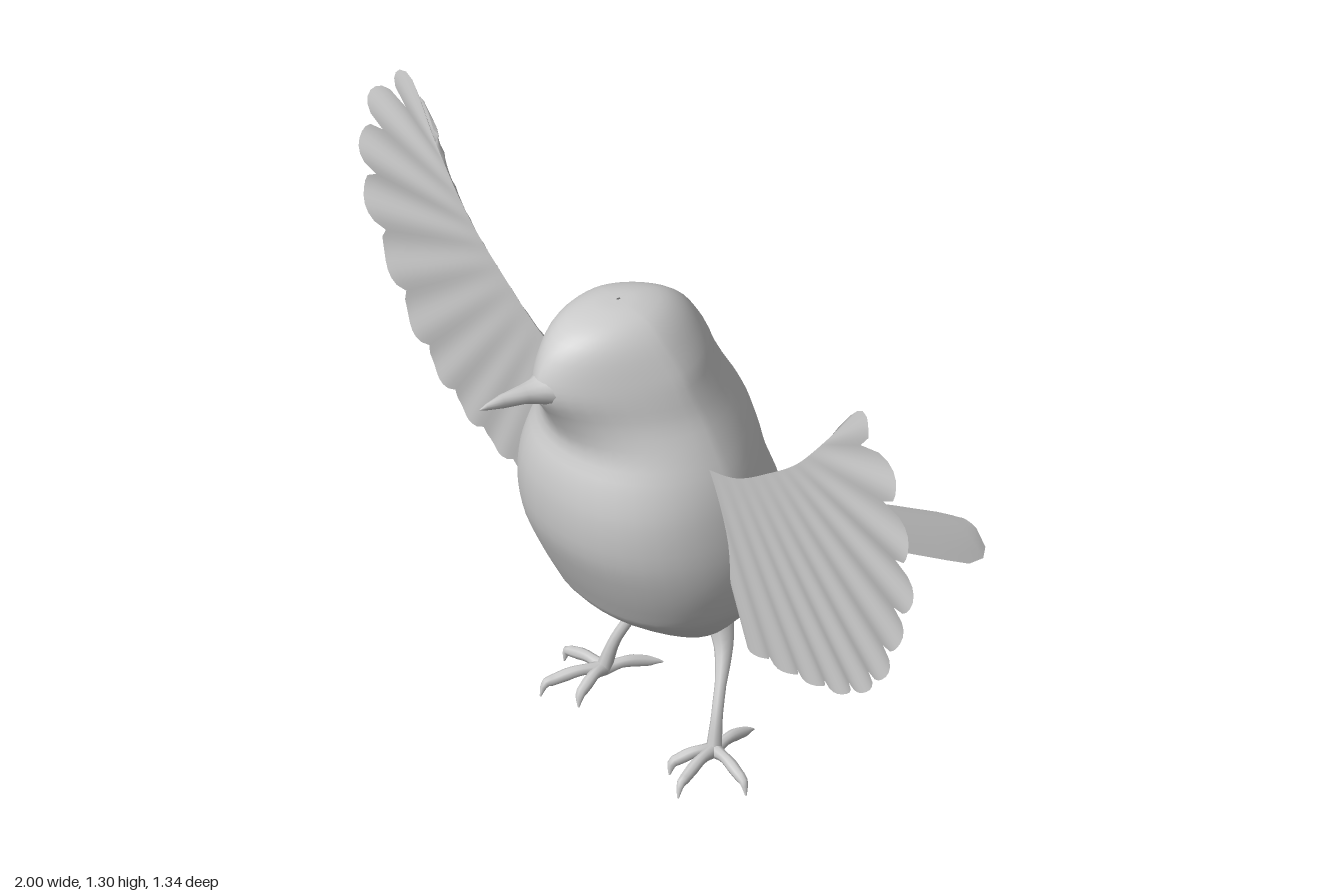
import * as THREE from 'three';

const V2 = (x, y) => new THREE.Vector2(x, y);
const V3 = (x, y, z) => new THREE.Vector3(x, y, z);

// Joins rows of points into a smooth surface; closed rows wrap round
function loft(rows, closed) {
  const n = rows[0].length, pos = [], idx = [];
  rows.forEach(r => r.forEach(p => pos.push(p.x, p.y, p.z)));
  for (let i = 0; i < rows.length - 1; i++) {
    for (let j = 0; j < (closed ? n : n - 1); j++) {
      const k = (j + 1) % n, a = i * n + j, b = i * n + k;
      idx.push(a, a + n, b, b, a + n, b + n);
    }
  }
  const g = new THREE.BufferGeometry();
  g.setAttribute('position', new THREE.Float32BufferAttribute(pos, 3));
  g.setIndex(idx);
  g.computeVertexNormals();
  return g;
}

// Round limb along a path, its radius blended through the given list
function limb(points, radii) {
  const curve = new THREE.CatmullRomCurve3(points), n = 14, sides = 8;
  const g = new THREE.TubeGeometry(curve, n, 1, sides);
  const p = g.attributes.position, v = V3(0, 0, 0);
  for (let i = 0; i <= n; i++) {
    const c = curve.getPointAt(i / n), f = i / n * (radii.length - 1);
    const k = Math.min(Math.floor(f), radii.length - 2);
    const r = THREE.MathUtils.lerp(radii[k], radii[k + 1], f - k);
    for (let j = 0; j <= sides; j++) {
      const q = i * (sides + 1) + j;
      v.fromBufferAttribute(p, q).sub(c).multiplyScalar(r).add(c);
      p.setXYZ(q, v.x, v.y, v.z);
    }
  }
  return g;
}

// Head and body: stacked sections of height, front z, back z, half width, widest z, front squareness
function bodyGeometry() {
  const rows = [
    [0.283, 0.14, 0.13, 0.005, 0.135, 1],
    [0.29, 0.18, 0.09, 0.09, 0.14, 1],
    [0.315, 0.235, 0.05, 0.145, 0.15, 1],
    [0.36, 0.305, -0.04, 0.2, 0.16, 0.95],
    [0.41, 0.37, -0.2, 0.24, 0.17, 0.9],
    [0.45, 0.395, -0.225, 0.265, 0.17, 0.9],
    [0.53, 0.435, -0.14, 0.292, 0.17, 0.9],
    [0.62, 0.47, -0.105, 0.3, 0.18, 0.9],
    [0.72, 0.48, -0.065, 0.29, 0.19, 0.9],
    [0.8, 0.47, -0.045, 0.27, 0.2, 0.95],
    [0.87, 0.448, -0.02, 0.24, 0.21, 1],
    [0.94, 0.475, 0.02, 0.207, 0.22, 1.15],
    [1.0, 0.512, 0.05, 0.187, 0.24, 1.3],
    [1.05, 0.51, 0.07, 0.168, 0.25, 1.3],
    [1.115, 0.475, 0.112, 0.13, 0.27, 1.15],
    [1.155, 0.42, 0.165, 0.09, 0.28, 1],
    [1.173, 0.35, 0.23, 0.045, 0.29, 1],
    [1.176, 0.295, 0.285, 0.003, 0.29, 1],
  ];
  const depth = new THREE.CatmullRomCurve3(rows.map(r => V3(r[0], r[1], r[2])), false, 'catmullrom');
  const width = new THREE.CatmullRomCurve3(rows.map(r => V3(r[3], r[4], r[5])), false, 'catmullrom');
  const rings = [], n = (rows.length - 1) * 3, sides = 40;
  for (let i = 0; i <= n; i++) {
    const d = depth.getPoint(i / n), w = width.getPoint(i / n), ring = [];
    for (let j = 0; j < sides; j++) {
      const a = j / sides * Math.PI * 2, c = Math.cos(a), s = Math.sin(a);
      const e = s > 0 ? w.z : 1.25;
      const reach = s > 0 ? d.y - w.y : w.y - d.z;
      ring.push(V3(Math.sign(c) * Math.abs(c) ** e * w.x, d.x, w.y + Math.sign(s) * Math.abs(s) ** e * reach));
    }
    rings.push(ring);
  }
  return loft(rings, true);
}

// Beak: sections of z, half width, bottom and top
function beakGeometry() {
  const rows = [[0.46, 0.06, 0.97, 1.07], [0.51, 0.036, 0.993, 1.05], [0.55, 0.024, 1.008, 1.05],
    [0.61, 0.014, 1.018, 1.05], [0.65, 0.006, 1.028, 1.043], [0.668, 0.001, 1.034, 1.036]];
  return loft(rows.map(([z, w, lo, hi]) => Array.from({ length: 12 }, (_, j) => {
    const a = j / 12 * Math.PI * 2;
    return V3(Math.cos(a) * w, (lo + hi) / 2 - Math.sin(a) * (hi - lo) / 2, z);
  })), true);
}

// Tail: arched sheet with a rounded end; z, half width, ridge height, edge drop
function tailGeometry() {
  const rows = [[-0.1, 0.085, 0.5, 0.05], [-0.15, 0.1, 0.505, 0.06], [-0.2, 0.105, 0.472, 0.062],
    [-0.28, 0.112, 0.415, 0.055], [-0.4, 0.12, 0.35, 0.055], [-0.51, 0.128, 0.29, 0.055],
    [-0.57, 0.128, 0.257, 0.055], [-0.62, 0.112, 0.23, 0.042], [-0.65, 0.08, 0.213, 0.025], [-0.667, 0.025, 0.204, 0.003]];
  return loft(rows.map(([z, w, y, drop]) => Array.from({ length: 13 }, (_, j) => {
    const s = j / 6 - 1;
    return V3(s * w, y - drop * s * s, z);
  })), false);
}

// Wing: feathers fan from the leading edge to a scalloped rim
const FEATHERS = 11;
const arm = new THREE.SplineCurve([V2(0.22, 0.83), V2(0.35, 0.87), V2(0.48, 0.955), V2(0.6, 1.05), V2(0.72, 1.185)]);
const tips = new THREE.SplineCurve([V2(0.33, 0.39), V2(0.37, 0.39), V2(0.475, 0.405), V2(0.58, 0.43), V2(0.685, 0.465),
  V2(0.78, 0.525), V2(0.865, 0.615), V2(0.935, 0.745), V2(0.998, 0.89), V2(0.998, 1.045), V2(0.955, 1.195),
  V2(0.85, 1.305), V2(0.8, 1.3)]);

function wingGeometry(reach, thickness) {
  const rows = [], nu = FEATHERS * 8, nv = 12;
  for (let i = 0; i <= nu; i++) {
    const u = i / nu, f = u * FEATHERS;
    // tip curve passes each feather's middle
    const k = f < 0.5 ? f * 2 : f > FEATHERS - 0.5 ? FEATHERS + (f - FEATHERS + 0.5) * 2 : f + 0.5;
    const root = arm.getPoint(u), tip = tips.getPoint(k / (FEATHERS + 1));
    const span = tip.clone().sub(root), len = span.length();
    const notch = THREE.MathUtils.lerp(0.02, 0.1, u * u) * (1 - Math.sqrt(Math.abs(Math.sin(Math.PI * f))));
    span.multiplyScalar((len - notch) / len * reach);
    const row = [];
    for (let j = 0; j <= nv; j++) {
      const v = j / nv, x = root.x + span.x * v, y = root.y + span.y * v;
      const t = Math.max(0, (1.1 - y) / 0.7);
      const front = 0.25 - 0.065 * t ** 1.3 + 0.005 * v * Math.sin(2 * Math.PI * f);
      const bulge = Math.sin(Math.PI * Math.min(1, v * 2.5) / 2) * (1 - 0.65 * v);
      row.push(V3(x, y, front - thickness * (1 - 0.75 * u) * bulge));
    }
    rows.push(row);
  }
  return loft(rows, false);
}

export function createModel() {
  const plain = new THREE.MeshStandardMaterial({ color: 0xcccccc, side: THREE.DoubleSide });
  plain.name = 'light grey';
  const bird = new THREE.Group();
  bird.name = 'bird';
  const add = (parent, name, geometry) => {
    const m = new THREE.Mesh(geometry, plain);
    m.name = name;
    parent.add(m);
  };

  add(bird, 'body', bodyGeometry());
  add(bird, 'beak', beakGeometry());
  add(bird, 'tail', tailGeometry());

  for (const [side, s] of [['left', 1], ['right', -1]]) {
    const wing = new THREE.Group();
    wing.name = side + 'Wing';
    wing.scale.x = s;
    add(wing, 'flightFeathers', wingGeometry(1, 0));
    add(wing, 'wingCoverts', wingGeometry(0.66, 0.075));
    bird.add(wing);

    const leg = new THREE.Group();
    leg.name = side + 'Leg';
    leg.scale.x = s;
    add(leg, 'shank', limb([V3(0.115, 0.32, 0.1), V3(0.135, 0.26, 0.105), V3(0.185, 0.13, 0.16), V3(0.2, 0.055, 0.18)],
      [0.032, 0.02, 0.013, 0.013, 0.018]));
    // three forward toes and one hind toe, each ending in a claw
    for (const [x, z] of [[0.165, 0.275], [0.25, 0.315], [0.33, 0.19], [0.165, 0.045]]) {
      const at = (t, y) => V3(0.2 + (x - 0.2) * t, y, 0.18 + (z - 0.18) * t);
      const low = z < 0.1 ? 0.035 : 0.008;
      add(leg, 'toe', limb([at(0, 0.055), at(0.4, 0.058), at(0.8, 0.045), at(0.92, 0.04), at(1, low)],
        [0.018, 0.012, 0.014, 0.012, 0.002]));
    }
    bird.add(leg);
  }
  return bird;
}
